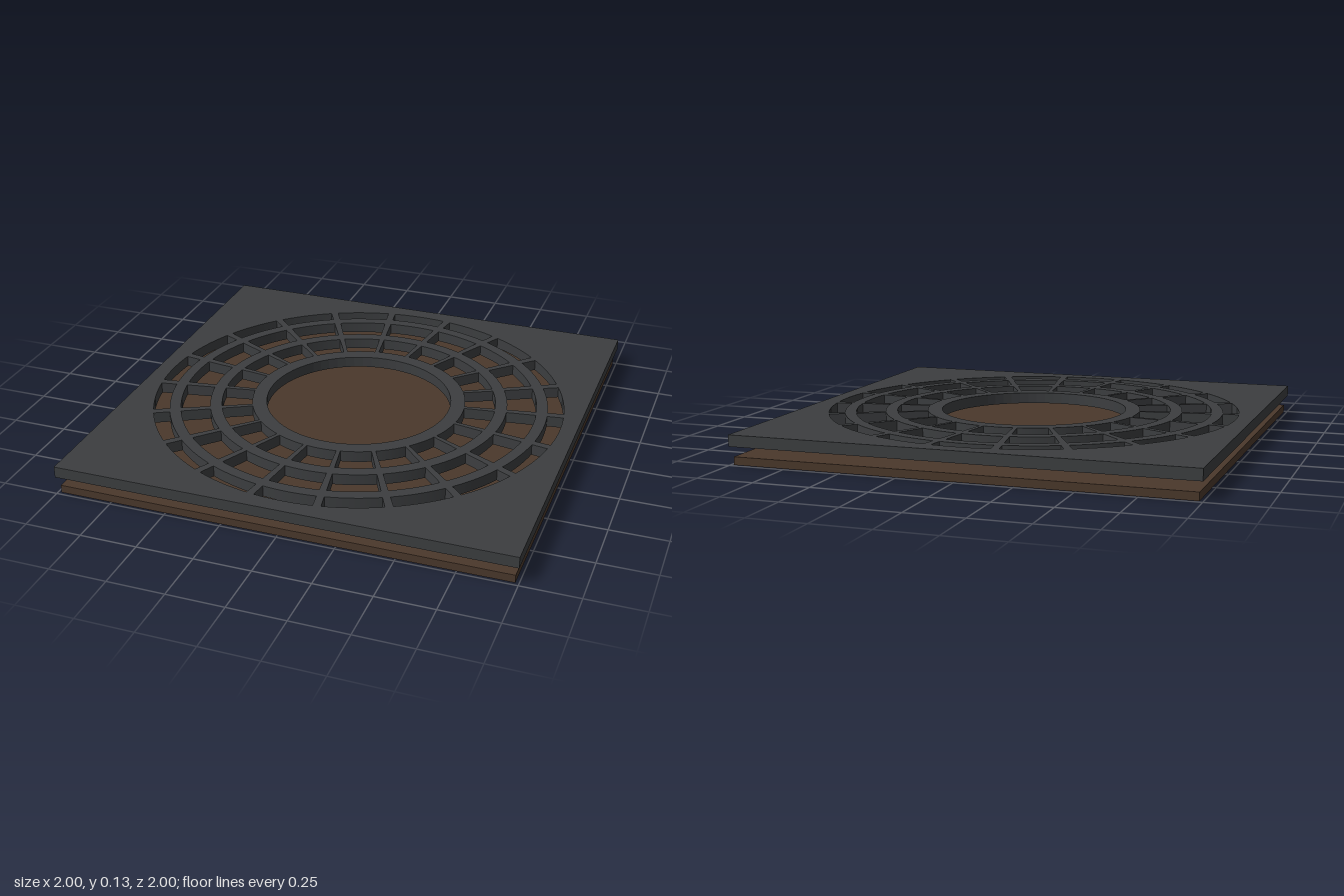
import * as THREE from 'three';

const SLOTS = 20;
const RINGS = [[0.483, 0.62], [0.673, 0.805], [0.855, 0.927]]; // inner and outer radius of each slot ring

// Outline of one curved slot, centred on the given angle
function slotPath(inner, outer, angle) {
  const half = (Math.PI / SLOTS) * 0.88;
  const path = new THREE.Path();
  path.absarc(0, 0, outer, angle - half, angle + half, false);
  path.absarc(0, 0, inner, angle + half, angle - half, true);
  path.closePath();
  return path;
}

export function createModel() {
  const model = new THREE.Group();
  const iron = new THREE.MeshStandardMaterial({ color: 0x3c3e40 });
  const earth = new THREE.MeshStandardMaterial({ color: 0x4a382b });

  // Solid square base
  const base = new THREE.Mesh(new THREE.BoxGeometry(1.97, 0.035, 1.97), earth);
  base.name = 'basePlate';
  base.position.y = 0.0175;
  model.add(base);

  // Square grate with a round opening and three rings of slots
  const outline = new THREE.Shape([[-1, -1], [1, -1], [1, 1], [-1, 1]].map(([x, y]) => new THREE.Vector2(x, y)));
  const opening = new THREE.Path();
  opening.absarc(0, 0, 0.418, 0, Math.PI * 2, true);
  outline.holes.push(opening);
  for (const [inner, outer] of RINGS) {
    for (let i = 0; i < SLOTS; i++) {
      outline.holes.push(slotPath(inner, outer, (i / SLOTS) * Math.PI * 2));
    }
  }
  const geometry = new THREE.ExtrudeGeometry(outline, { depth: 0.05, bevelEnabled: false, curveSegments: 32 });
  geometry.rotateX(-Math.PI / 2);
  const grate = new THREE.Mesh(geometry, iron);
  grate.name = 'grate';
  grate.position.y = 0.08;
  model.add(grate);

  return model;
}
